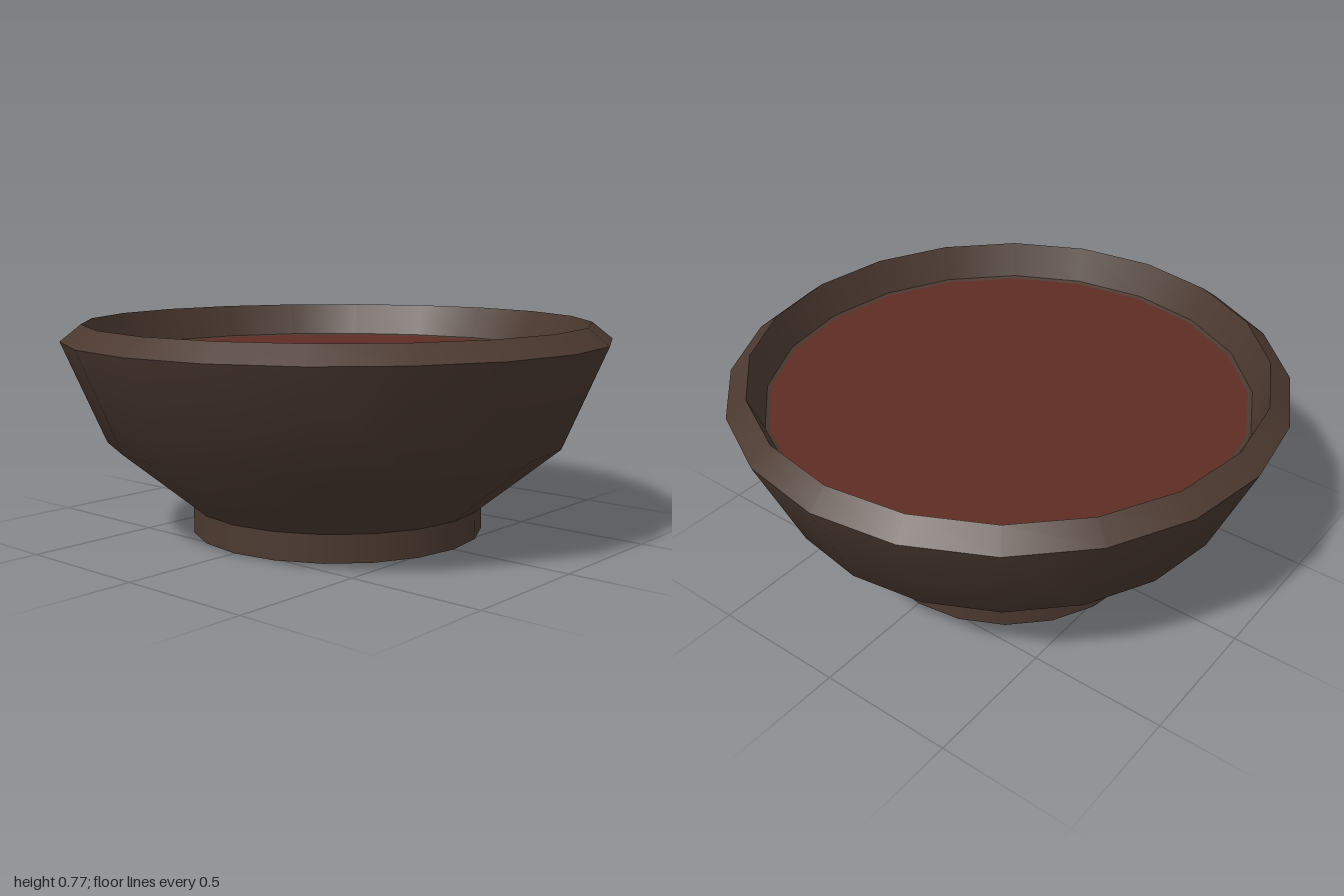
import * as THREE from 'three';

const SIDES = 20;

export function createModel() {
  const bowl = new THREE.Group();
  bowl.name = 'bowl';

  const clay = new THREE.MeshStandardMaterial({ color: 0x4b3930 });
  clay.name = 'dark brown clay';
  const soup = new THREE.MeshStandardMaterial({ color: 0x5f2d23 });
  soup.name = 'red brown soup';

  // Each section is its own lathe, so edges between sections stay sharp.
  const turn = (name, material, profile) => {
    const points = profile.map(([r, y]) => new THREE.Vector2(r, y));
    const mesh = new THREE.Mesh(new THREE.LatheGeometry(points, SIDES), material);
    mesh.name = name;
    bowl.add(mesh);
  };

  // Profiles run from the underside, up the outside and down the inside.
  turn('footUnderside', clay, [[0, 0], [0.54, 0]]);
  turn('foot', clay, [[0.54, 0], [0.54, 0.1]]);
  turn('outerWall', clay, [[0.54, 0.1], [0.845, 0.35], [1, 0.715]]);
  turn('rim', clay, [[1, 0.715], [0.925, 0.775]]);
  turn('innerWall', clay, [[0.925, 0.775], [0.875, 0.65]]);
  turn('soupEdge', clay, [[0.875, 0.65], [0.86, 0.645]]);
  turn('soupSurface', soup, [[0.86, 0.645], [0, 0.645]]);

  return bowl;
}
